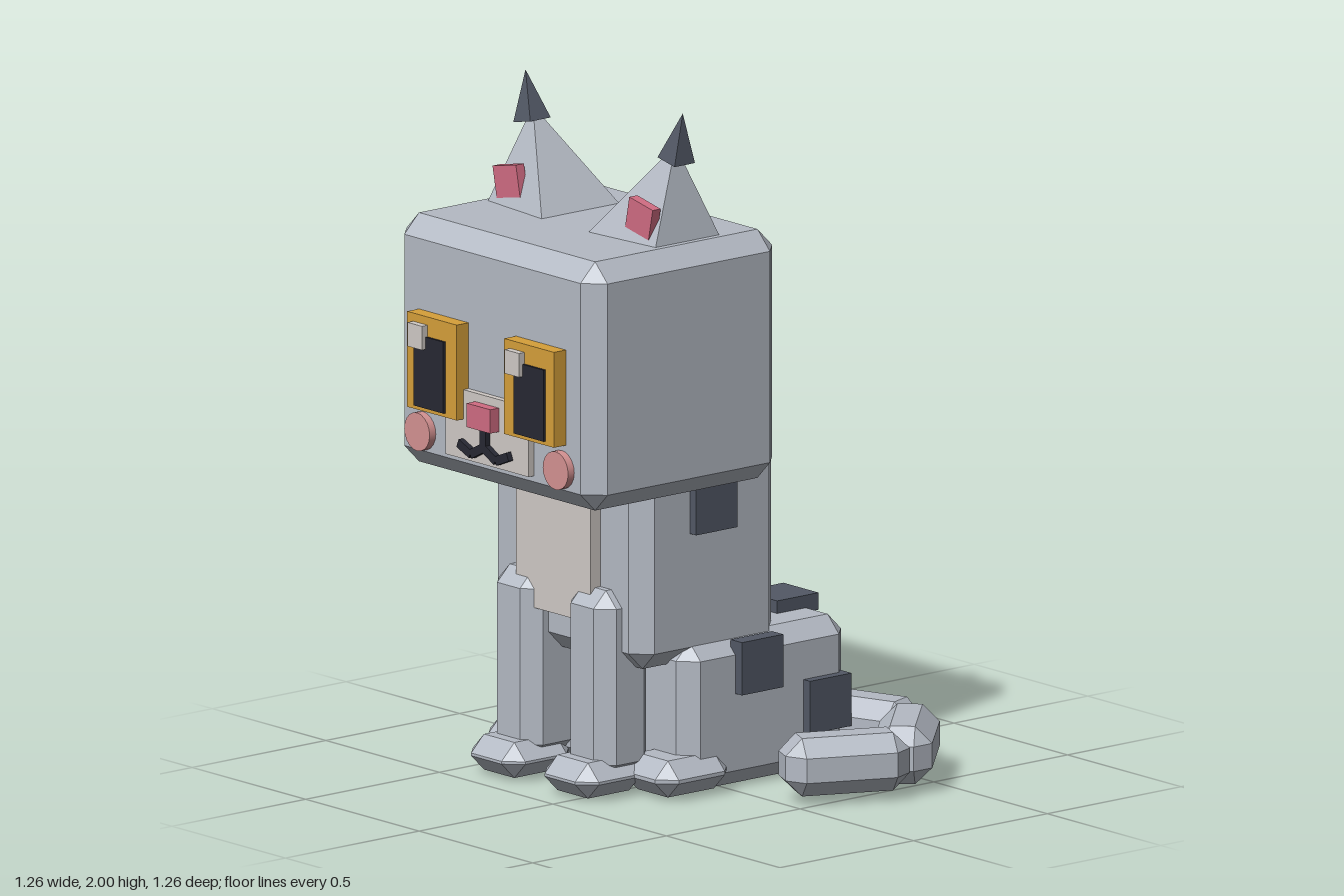
import * as THREE from 'three';
import { ConvexGeometry } from 'three/addons/geometries/ConvexGeometry.js';

const paint = (name, color) => {
  const m = new THREE.MeshStandardMaterial({ color });
  m.name = name;
  return m;
};

// Box with flat chamfered edges: three points per corner
function chamferBox(w, h, d, c) {
  const pts = [];
  for (const x of [-1, 1]) for (const y of [-1, 1]) for (const z of [-1, 1]) {
    const a = w / 2, b = h / 2, e = d / 2;
    pts.push(
      new THREE.Vector3(x * a, y * (b - c), z * (e - c)),
      new THREE.Vector3(x * (a - c), y * b, z * (e - c)),
      new THREE.Vector3(x * (a - c), y * (b - c), z * e));
  }
  return new ConvexGeometry(pts);
}

export function createModel() {
  const fur = paint('grey fur', 0xb4bac4);
  const dark = paint('dark spots', 0x525865);
  const ink = paint('black', 0x272833);
  const gold = paint('gold', 0xd6a03a);
  const pink = paint('pink', 0xd06c82);
  const blush = paint('blush', 0xd49292);
  const cream = paint('cream', 0xd0cac6);

  const model = new THREE.Group();
  model.name = 'cat';
  const cat = new THREE.Group(); // symmetric body parts, set off to make room for the tail
  cat.name = 'catBody';
  cat.position.x = -0.19;
  model.add(cat);

  const add = (name, geo, mat, x = 0, y = 0, z = 0, parent = cat) => {
    const m = new THREE.Mesh(geo, mat);
    m.name = name;
    m.position.set(x, y, z);
    parent.add(m);
    return m;
  };
  // Boxes given by their limits
  const span = (name, mat, [x0, x1], [y0, y1], [z0, z1], chamfer = 0) => {
    const w = x1 - x0, h = y1 - y0, d = z1 - z0;
    const geo = chamfer ? chamferBox(w, h, d, chamfer) : new THREE.BoxGeometry(w, h, d);
    return add(name, geo, mat, (x0 + x1) / 2, (y0 + y1) / 2, (z0 + z1) / 2);
  };

  // Main masses
  span('head', fur, [-0.443, 0.443], [0.9, 1.63], [-0.152, 0.565], 0.055);
  span('torso', fur, [-0.34, 0.34], [0.375, 1.07], [-0.232, 0.3], 0.052);
  span('haunches', fur, [-0.378, 0.378], [0, 0.44], [-0.46, 0.157], 0.05);
  span('chestPatch', cream, [-0.164, 0.164], [0.5, 0.95], [0.28, 0.338]);

  // Face
  const front = 0.565;
  span('muzzle', cream, [-0.183, 0.183], [0.972, 1.175], [0.54, 0.585]);
  span('nose', pink, [-0.052, 0.052], [1.08, 1.15], [0.56, 0.617]);
  span('mouthStem', ink, [-0.014, 0.014], [1.015, 1.08], [0.56, 0.602]);

  for (const s of [-1, 1]) {
    const side = s > 0 ? 'left' : 'right';

    // Mouth curve in two short strokes
    const mouth = [[0, 1.026], [0.055, 0.997], [0.11, 1.02]];
    for (let i = 0; i < 2; i++) {
      const [ax, ay] = mouth[i], [bx, by] = mouth[i + 1];
      const len = Math.hypot(bx - ax, by - ay);
      const stroke = add(side + 'MouthStroke', new THREE.BoxGeometry(len, 0.026, 0.04), ink,
        s * (ax + bx) / 2, (ay + by) / 2, 0.582);
      stroke.rotation.z = s * Math.atan2(by - ay, bx - ax);
    }

    // Eye: frame, pupil and highlight
    add(side + 'Eye', new THREE.BoxGeometry(0.219, 0.28, 0.065), gold, s * 0.214, 1.228, 0.577);
    add(side + 'Pupil', new THREE.BoxGeometry(0.132, 0.21, 0.03), ink, s * 0.221, 1.205, 0.602);
    add(side + 'EyeHighlight', new THREE.BoxGeometry(0.064, 0.07, 0.03), cream,
      s * 0.2135 - 0.051, 1.309, 0.616);

    const cheek = add(side + 'Cheek', new THREE.CylinderGeometry(0.056, 0.056, 0.04, 20), blush,
      s * 0.305, 1.014, front + 0.003);
    cheek.rotation.x = Math.PI / 2;

    // Ear pyramid leaning outward, with a dark tip and pink inner plate
    const ear = new ConvexGeometry([[0.1, 0.295], [0.37, 0.27], [0.37, 0.028], [0.1, 0]]
      .map(([x, z]) => new THREE.Vector3(s * x, 1.625, z))
      .concat(new THREE.Vector3(s * 0.314, 1.9, 0.147)));
    add(side + 'Ear', ear, fur);
    const tipGeo = new THREE.ConeGeometry(0.054, 0.145, 4).rotateY(Math.PI / 4).toNonIndexed();
    tipGeo.computeVertexNormals();
    add(side + 'EarTip', tipGeo, dark, s * 0.332, 1.929, 0.147).rotation.z = -s * 0.2;
    add(side + 'InnerEar', new THREE.BoxGeometry(0.105, 0.093, 0.03), pink,
      s * 0.292, 1.7, 0.25).rotation.z = -s * 0.2;

    // Legs and paws
    const x = s * 0.162;
    span(side + 'FrontLeg', fur, [x - 0.097, x + 0.097], [0.05, 0.602], [0.17, 0.367], 0.047);
    span(side + 'FrontPaw', fur, [x - 0.115, x + 0.115], [0.008, 0.112], [0.2, 0.45], 0.048);
    const hx = s * 0.3;
    span(side + 'HindPaw', fur, [hx - 0.115, hx + 0.115], [0.008, 0.115], [0.0, 0.268], 0.048);

    // Spot on the side of the torso
    add(side + 'TorsoSpot', new THREE.BoxGeometry(0.05, 0.155, 0.155), dark, s * 0.342, 0.838, 0.037);
  }

  // Spots on the sides of the haunches: side, y, z
  for (const [s, y, z] of [[1, 0.354, -0.1], [1, 0.2, -0.355], [-1, 0.295, -0.272], [-1, 0.178, -0.025]])
    add('haunchSideSpot', new THREE.BoxGeometry(0.05, 0.155, 0.155), dark, s * 0.382, y, z);
  // Spots on top of the haunches: x, z
  for (const [x, z] of [[-0.193, -0.32], [0.155, -0.38]])
    add('haunchTopSpot', new THREE.BoxGeometry(0.155, 0.05, 0.155), dark, x, 0.452, z);

  // Tail: three chamfered links curling round to the side
  const tail = new THREE.Group();
  tail.name = 'tail';
  model.add(tail);
  const links = [
    [-0.01, -0.447, 0.337, -0.57],
    [0.313, -0.575, 0.574, -0.315],
    [0.567, -0.34, 0.415, -0.005],
  ];
  for (const [ax, az, bx, bz] of links) {
    const len = Math.hypot(bx - ax, bz - az);
    const link = add('tailLink', chamferBox(0.17, 0.17, len, 0.049), fur,
      (ax + bx) / 2, 0.11, (az + bz) / 2, tail);
    link.rotation.y = Math.atan2(bx - ax, bz - az);
  }
  return model;
}
